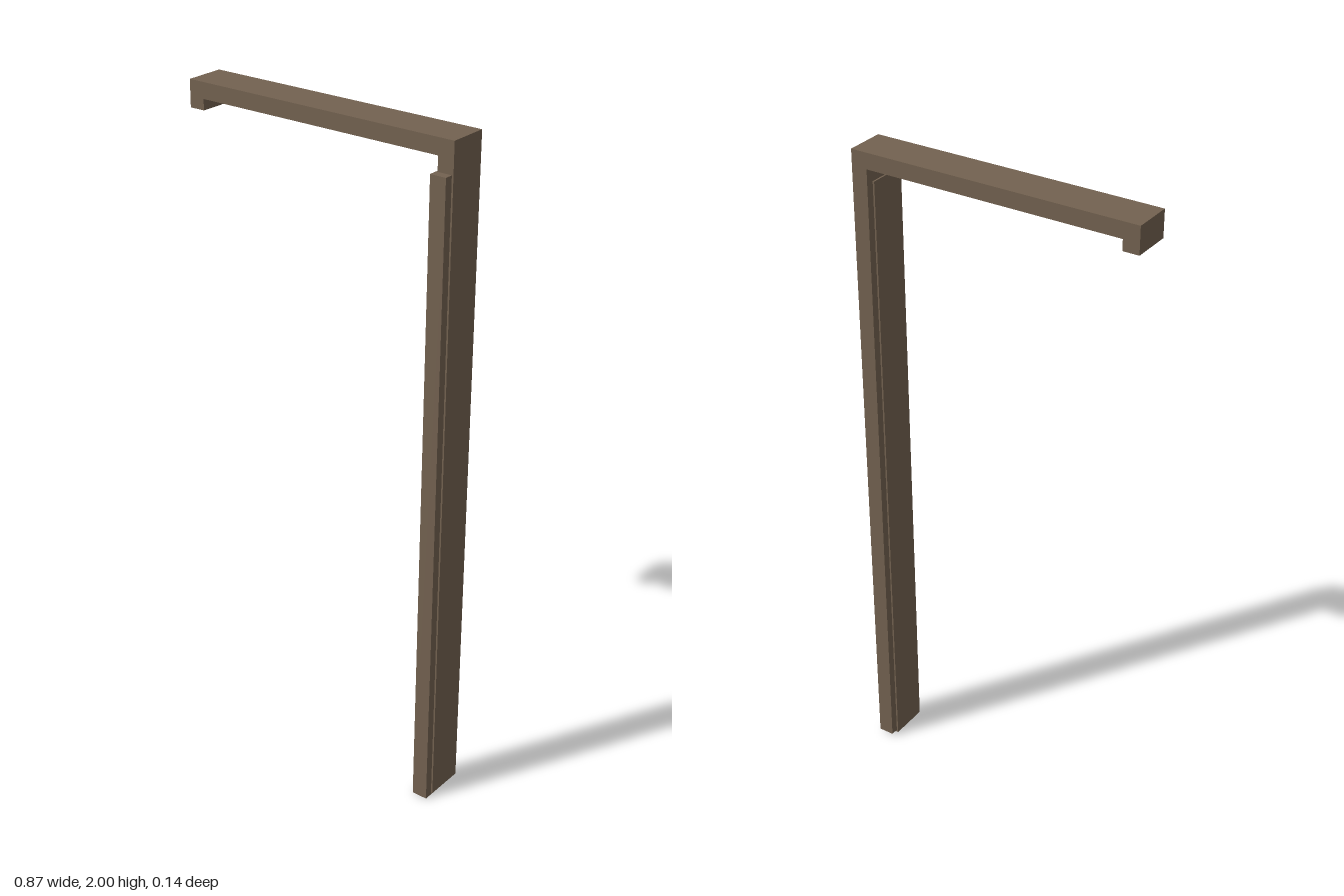
import * as THREE from 'three';

export function createModel() {
  const model = new THREE.Group();
  model.name = 'doorFrame';
  const wood = new THREE.MeshStandardMaterial({ name: 'brown wood', color: 0x736250 });

  // Frame: lintel with a short stub on one side and a full jamb on the other
  const outline = new THREE.Shape([
    [-0.436, 2], [-0.436, 1.921], [-0.388, 1.921], [-0.388, 1.953],
    [0.388, 1.953], [0.388, 0.007], [0.436, 0.007], [0.436, 2],
  ].map(([x, y]) => new THREE.Vector2(x, y)));
  const frame = new THREE.Mesh(
    new THREE.ExtrudeGeometry(outline, { depth: 0.119, bevelEnabled: false }), wood);
  frame.name = 'lintelAndJamb';
  frame.position.z = -0.072;
  model.add(frame);

  // Loose post set slightly forward of the jamb
  const post = new THREE.Mesh(new THREE.BoxGeometry(0.048, 1.911, 0.12), wood);
  post.name = 'frontPost';
  post.position.set(0.407, 0.9555, 0.012);
  model.add(post);

  return model;
}
